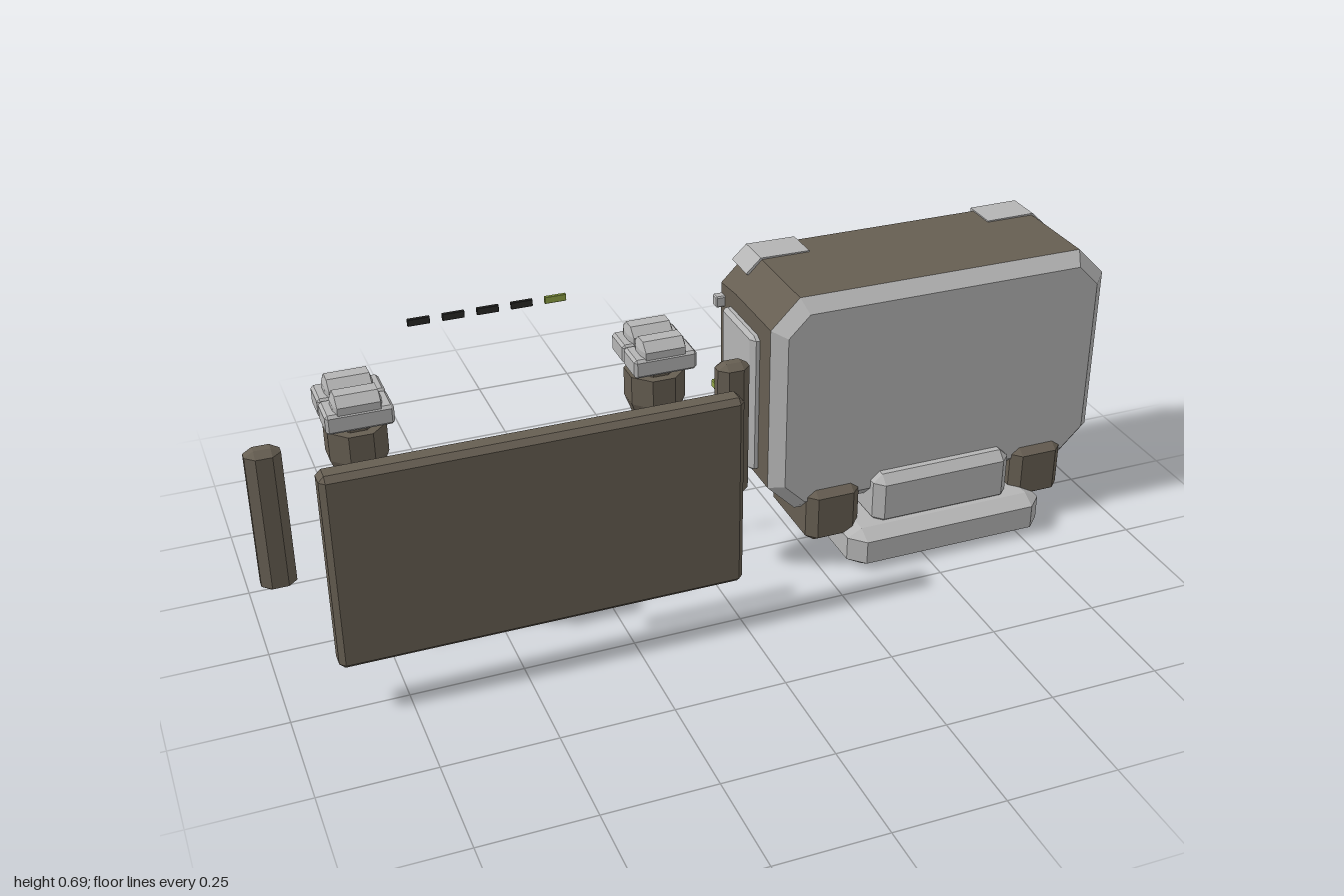
import * as THREE from 'three';
import { ConvexGeometry } from 'three/addons/geometries/ConvexGeometry.js';

const mat = (name, color, extra = {}) => {
  const m = new THREE.MeshStandardMaterial({ color, ...extra });
  m.name = name;
  return m;
};

export function createModel() {
  const gray = mat('lightGray', 0xb4b4b4, { flatShading: true });
  const dark = mat('taupe', 0x665e52, { flatShading: true });
  const green = mat('green', 0x8fa346, { flatShading: true });
  const black = mat('black', 0x2a2a28, { flatShading: true });

  const root = new THREE.Group();
  const add = (name, geo, material, parent = root) => {
    const m = new THREE.Mesh(geo, material);
    m.name = name;
    parent.add(m);
    return m;
  };

  // Box given by its limits, with every edge cut by [cx, cy, cz]
  const block = (name, material, x, y, z, c = 0.01, parent = root) => {
    const [cx, cy, cz] = Array.isArray(c) ? c : [c, c, c];
    const mid = [x, y, z].map(([a, b]) => (a + b) / 2);
    const [w, h, d] = [x, y, z].map(([a, b]) => (b - a) / 2);
    const pts = [];
    for (const i of [-1, 1]) for (const j of [-1, 1]) for (const k of [-1, 1]) {
      pts.push(new THREE.Vector3(i * w, j * (h - cy), k * (d - cz)));
      pts.push(new THREE.Vector3(i * (w - cx), j * h, k * (d - cz)));
      pts.push(new THREE.Vector3(i * (w - cx), j * (h - cy), k * d));
    }
    const m = add(name, new ConvexGeometry(pts), material, parent);
    m.position.set(...mid);
    return m;
  };
  const around = (c, s) => [c - s / 2, c + s / 2];

  // Screen panel with its light bar
  block('screenPanel', dark, [-0.89, -0.003], [0.115, 0.57], [0.22, 0.275], 0.012);
  block('lightBar', green, [-0.62, -0.27], [0.495, 0.518], [0.168, 0.193], 0.006);

  // Upright side rails with a green tab behind each
  for (const x of [-0.9625, 0.0625]) {
    block('sideRail', dark, around(x, 0.075), [0.195, 0.53], [0.01, 0.065], [0.02, 0.012, 0.018]);
    block('railTab', green, around(x, 0.06), around(0.46, 0.018), [-0.01, 0.012], 0.002);
  }

  // Row of status lights
  for (let i = 0; i < 5; i++) {
    block('statusLight', i === 4 ? green : black, around(-0.592 + i * 0.075, 0.048),
      [0.674, 0.69], around(-0.103, 0.008), 0.001);
  }

  // Grid of thin scan lines
  for (let i = 0; i < 12; i++) {
    add('scanLine', new THREE.BoxGeometry(0.61, 0.005, 0.007), black)
      .position.set(-0.455, 0.122, -0.24 + i * 0.03);
  }

  // Hanging emitters: double roller head, faceted body, tapered nozzle
  for (const x of [-0.772, -0.122]) {
    const g = new THREE.Group();
    g.name = 'emitter';
    g.position.set(x, 0, 0.047);
    root.add(g);
    for (const s of [-1, 1]) {
      block('headFlange', gray, [-0.07, 0.07], [0.575, 0.618], around(s * 0.038, 0.075), 0.006, g);
      block('headRoller', gray, [-0.05, 0.05], [0.59, 0.649], around(s * 0.038, 0.07), [0.006, 0.018, 0.02], g);
    }
    const ring = (name, m, top, bottom, y1, y0) =>
      add(name, new THREE.CylinderGeometry(top, bottom, y1 - y0, 8).rotateY(Math.PI / 8), m, g)
        .position.y = (y0 + y1) / 2;
    ring('neck', dark, 0.045, 0.045, 0.58, 0.553);
    ring('emitterBody', dark, 0.066, 0.066, 0.555, 0.49);
    ring('emitterTaper', dark, 0.066, 0.046, 0.49, 0.44);
    ring('nozzle', gray, 0.044, 0.03, 0.44, 0.395);
    ring('nozzleTip', green, 0.026, 0.024, 0.397, 0.388);
  }

  // Monitor housing, centred on its own axis
  const monitor = new THREE.Group();
  monitor.name = 'monitor';
  monitor.position.set(0.555, 0.406, 0);
  root.add(monitor);

  // Eight-sided cross-section
  const ring8 = (inset, z, cut = 0.068) => {
    const w = 0.416 - inset, h = 0.267 - inset, c = cut - inset * 0.59;
    return [[w, h - c], [w - c, h], [c - w, h], [-w, h - c],
      [-w, c - h], [c - w, -h], [w - c, -h], [w, c - h]].map(([x, y]) => [x, y, z]);
  };
  // Skin through rings; front-to-back order faces outward
  const skin = (name, material, rings, cap = 0) => {
    const p = [];
    for (let r = 0; r + 1 < rings.length; r++) {
      for (let i = 0; i < 8; i++) {
        const j = (i + 1) % 8, [a, b] = [rings[r], rings[r + 1]];
        p.push(...a[i], ...b[i], ...b[j], ...a[i], ...b[j], ...a[j]);
      }
    }
    if (cap) {
      const f = cap > 0 ? rings[0] : rings[rings.length - 1];
      for (let i = 1; i < 7; i++) {
        p.push(...f[0], ...(cap > 0 ? f[i] : f[i + 1]), ...(cap > 0 ? f[i + 1] : f[i]));
      }
    }
    const g = new THREE.BufferGeometry();
    g.setAttribute('position', new THREE.Float32BufferAttribute(p, 3));
    g.computeVertexNormals();
    return add(name, g, material, monitor);
  };
  skin('frontCover', gray, [ring8(0.03, 0.1), ring8(0, 0.07)], 1);
  skin('housingShell', dark, [ring8(0, 0.07), ring8(0, -0.13), ring8(0, -0.215, 0.076),
    ring8(0.028, -0.24, 0.076), ring8(0.045, -0.24, 0.076), ring8(0.045, -0.215, 0.076)]);
  skin('cavity', gray, [ring8(0.045, -0.215, 0.076), ring8(0.05, -0.1), ring8(0.05, 0.06)], -1);
  block('cavityCeiling', dark, [-0.3, 0.3], [0.208, 0.216], [-0.1, 0.055], 0.001, monitor);

  for (const s of [-1, 1]) {
    // Vented side covers and small clips
    block('sideCover', gray, around(s * 0.42, 0.03), [-0.186, 0.156], [-0.17, 0.013], [0.01, 0.008, 0.014], monitor);
    for (let i = 0; i < 5; i++) {
      block('ventSlat', gray, around(s * 0.434, 0.02), around(0.024 - i * 0.028, 0.015),
        [-0.129, -0.053], 0.002, monitor);
    }
    for (const y of [-0.148, 0.153]) {
      block('sideClip', gray, around(s * 0.42, 0.036), around(y, 0.027), [-0.215, -0.191], 0.003, monitor);
    }
    // Corner guards wrapping the rear corners
    for (const t of [-1, 1]) {
      const shape = new THREE.Shape([[0.23, 0.255], [0.23, 0.27], [0.35, 0.271], [0.385, 0.238], [0.375, 0.228], [0.34, 0.255]]
        .map(([x, y]) => new THREE.Vector2(s * x, t * y)));
      add('cornerGuard', new THREE.ExtrudeGeometry(shape, { depth: 0.085, bevelEnabled: false }), gray, monitor)
        .position.z = -0.228;
    }
  }

  // Stand
  block('standBase', gray, [0.31, 0.81], [0, 0.095], [-0.205, 0.18], [0.035, 0.019, 0.035]);
  block('standNeck', gray, [0.385, 0.735], [0.08, 0.21], [-0.1, 0.137], [0.022, 0.02, 0.022]);
  for (const s of [-1, 1]) {
    const x = 0.555 + s * 0.265;
    block('standFoot', dark, around(x, 0.132), [0.06, 0.195], [-0.108, 0.12], [0.022, 0.016, 0.022]);
    block('footBolt', gray, around(x, 0.026), [0.112, 0.138], [-0.134, -0.1], 0.003);
  }

  // Rear controls: button box and three knobs
  block('buttonBox', dark, [0.5, 0.7], [0.1, 0.17], [-0.268, -0.145], [0.03, 0.015, 0.024]);
  for (let i = 0; i < 5; i++) {
    block('button', gray, around(0.545 + i * 0.0275, 0.018), [0.124, 0.152], [-0.275, -0.26], 0.003);
  }
  for (let i = 0; i < 3; i++) {
    add('knob', new THREE.CylinderGeometry(0.022, 0.022, 0.075, 8).rotateX(Math.PI / 2), gray)
      .position.set(0.285 + i * 0.064, 0.137, -0.2325);
  }
  return root;
}
